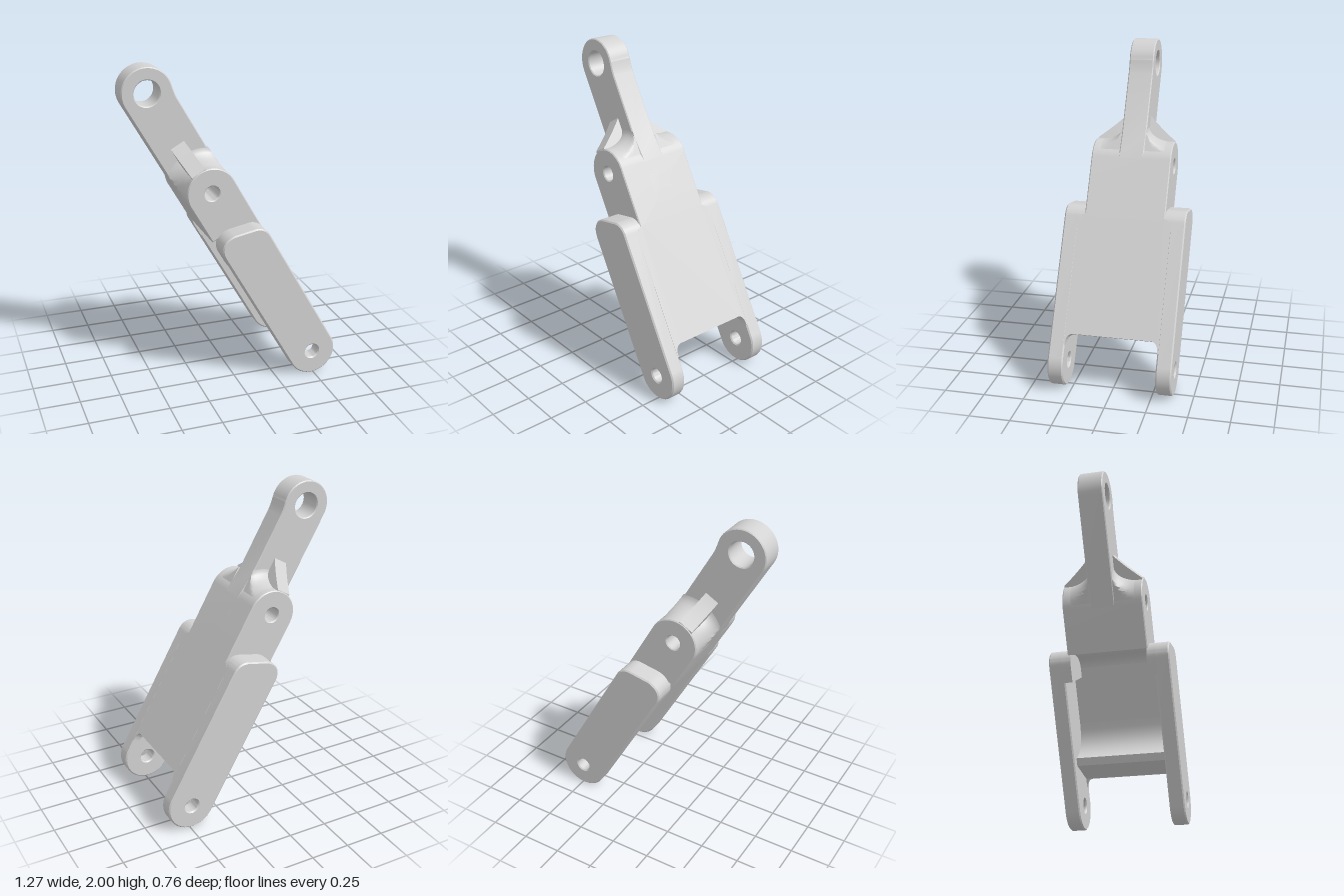
import * as THREE from 'three';
import { toCreasedNormals } from 'three/addons/utils/BufferGeometryUtils.js';

const R = 0.155; // half width of the link
const MID = 1.264, TOP = 1.946; // pivot positions along the link

export function createModel() {
  const metal = new THREE.MeshStandardMaterial({ color: 0xd2d2d2 });
  metal.name = 'plainGreyMetal';
  const model = new THREE.Group();
  model.name = 'linkArm';
  // The link's own y axis runs from the fork pivot to the eye pivot
  const link = new THREE.Group();
  link.name = 'tiltedLink';
  link.position.set(0.485, 0.155, 0);
  link.rotation.z = Math.atan2(0.965, 1.69);
  model.add(link);

  const add = (name, geo) => {
    const mesh = new THREE.Mesh(toCreasedNormals(geo, 0.5), metal);
    mesh.name = name;
    link.add(mesh);
  };
  const extrude = (shape, z0, z1, b = 0) => new THREE.ExtrudeGeometry(shape, {
    depth: z1 - z0 - 2 * b, bevelEnabled: b > 0, bevelThickness: b, bevelSize: b,
    bevelOffset: -b, bevelSegments: 1, curveSegments: 16,
  }).translate(0, 0, z0 + b);
  // Extrude a (z, y) outline across x
  const across = (shape, x0, x1) =>
    extrude(shape, 0, x1 - x0).rotateY(-Math.PI / 2).translate(x1, 0, 0);
  const drill = (shape, y, r) => {
    shape.holes.push(new THREE.Path().absarc(0, y, r, 0, Math.PI * 2, true));
    return shape;
  };
  const cheekTop = (s) => {
    s.lineTo(R, 0.875);
    s.bezierCurveTo(R, 0.922, 0.13, 0.957, 0.08, 0.97);
    s.lineTo(-0.03, 1.007);
    s.bezierCurveTo(-0.1, 1.022, -R, 0.984, -R, 0.915);
    s.closePath();
  };

  // Eye plate with a slight neck under the round end
  const eye = new THREE.Shape();
  eye.moveTo(-R, 1.0);
  eye.lineTo(R, 1.0);
  eye.lineTo(R, 1.3);
  eye.lineTo(0.139, 1.42);
  eye.lineTo(0.138, 1.82);
  eye.quadraticCurveTo(0.139, 1.86, 0.151, 1.91);
  eye.absarc(0, TOP, R, -0.23, Math.PI, false);
  eye.closePath();
  drill(drill(eye, TOP, 0.078), MID, 0.046);
  add('eyePlate', extrude(eye, -0.078, 0.078, 0.006));

  // Middle block with its round shoulder
  const mid = new THREE.Shape();
  mid.moveTo(-R, 0.99);
  mid.quadraticCurveTo(0.1, 0.99, 0.11, 0.88);
  mid.lineTo(R, 0.88);
  mid.lineTo(R, MID);
  mid.absarc(0, MID, R, 0, Math.PI, false);
  mid.closePath();
  add('middleBlock', extrude(drill(mid, MID, 0.046), -0.252, 0.252, 0.006));

  // Web plate on the +x face, with a filleted fork notch
  const web = new THREE.Shape();
  web.moveTo(-0.292, 0.08);
  web.lineTo(-0.285, 0.08);
  web.quadraticCurveTo(-0.285, 0.145, -0.24, 0.15);
  web.lineTo(0.24, 0.15);
  web.quadraticCurveTo(0.285, 0.145, 0.285, 0.08);
  web.lineTo(0.292, 0.08);
  web.lineTo(0.292, 0.87);
  web.lineTo(0.24, 0.9);
  web.lineTo(-0.24, 0.9);
  web.lineTo(-0.292, 0.87);
  web.closePath();
  add('webPlate', across(web, 0.11, R));

  // Slanted cross flange behind the notch, blended into the web
  const flange = new THREE.Shape();
  flange.moveTo(0.13, 0.152);
  flange.lineTo(0.13, 0.52);
  flange.lineTo(0.11, 0.52);
  flange.quadraticCurveTo(0.1, 0.34, -0.09, 0.33);
  flange.lineTo(-0.09, 0.28);
  flange.quadraticCurveTo(0.0, 0.225, 0.11, 0.152);
  flange.closePath();
  add('crossFlange', extrude(flange, -0.29, 0.29));

  for (const side of [1, -1]) {
    const span = (a, b) => side > 0 ? [a, b] : [-b, -a];
    const sideName = side > 0 ? 'front' : 'back';

    // Fork cheek and its junction with the middle block
    const cheek = new THREE.Shape();
    cheek.moveTo(-R, 0);
    cheek.absarc(0, 0, R, Math.PI, Math.PI * 2, false);
    cheekTop(cheek);
    add(sideName + 'Cheek', extrude(drill(cheek, 0, 0.044), ...span(0.285, 0.38), 0.008));
    const wall = new THREE.Shape();
    wall.moveTo(-R, 0.82);
    wall.lineTo(R, 0.82);
    cheekTop(wall);
    add(sideName + 'CheekWall', extrude(wall, ...span(0.24, 0.3)));

    // Gusset rib between the shoulder and the eye plate
    const rib = new THREE.Shape();
    rib.moveTo(side * 0.06, 1.36);
    rib.lineTo(side * 0.247, 1.36);
    rib.lineTo(side * 0.247, 1.42);
    rib.quadraticCurveTo(side * 0.13, 1.515, side * 0.07, 1.585);
    rib.closePath();
    add(sideName + 'Rib', across(rib, -0.055, 0.04));

    // Concave fillet sweeping round the shoulder
    const pos = [], idx = [], n = 24, m = 8, r = 0.09, h = 0.165;
    for (let i = 0; i <= n; i++) {
      const a = Math.PI * i / n;
      for (let j = 0; j <= m; j++) {
        const b = Math.PI / 2 * j / m;
        const d = R - 0.003 + r * (1 - Math.sin(b));
        const x = THREE.MathUtils.clamp(d * Math.cos(a), -0.152, 0.146);
        pos.push(x, MID + d * Math.sin(a), side * (0.077 + h * (1 - Math.cos(b))));
      }
    }
    for (let i = 0; i < n; i++) for (let j = 0; j < m; j++) {
      const p = i * (m + 1) + j, q = p + m + 1;
      if (side > 0) idx.push(p, q, p + 1, p + 1, q, q + 1);
      else idx.push(p, p + 1, q, p + 1, q + 1, q);
    }
    const fillet = new THREE.BufferGeometry();
    fillet.setAttribute('position', new THREE.Float32BufferAttribute(pos, 3));
    fillet.setIndex(idx);
    add(sideName + 'ShoulderFillet', fillet);
  }
  return model;
}
